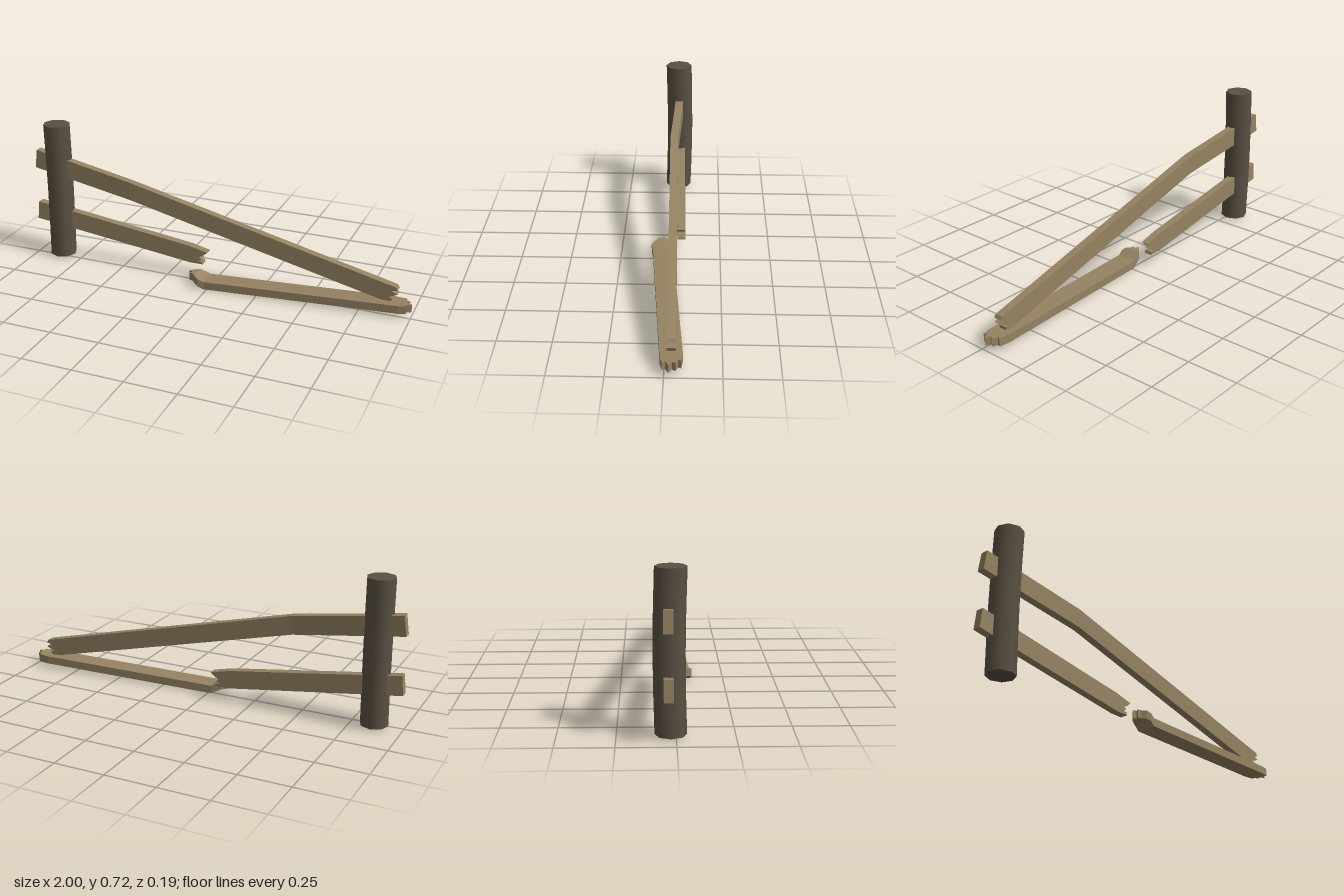
import * as THREE from 'three';

const railWood = new THREE.MeshStandardMaterial({ color: 0x958362 });
railWood.name = 'railWood';
const postWood = new THREE.MeshStandardMaterial({ color: 0x5a5142 });
postWood.name = 'postWood';

// Straight-line interpolation through [x, value] stops
function along(stops, x) {
  let i = 1;
  while (i < stops.length - 1 && x > stops[i][0]) i++;
  const [x0, v0] = stops[i - 1], [x1, v1] = stops[i];
  return v0 + (v1 - v0) * (x - x0) / (x1 - x0);
}

// A plank made of outlines that meet at its bends, with its thickness offset along x
function plank(name, outlines, stops, lying) {
  const group = new THREE.Group();
  group.name = name;
  outlines.forEach((outline, n) => {
    const shape = new THREE.Shape(outline.map(([x, v]) => new THREE.Vector2(x, lying ? -v : v)));
    let geometry = new THREE.ExtrudeGeometry(shape, { depth: 0.04, bevelEnabled: false });
    if (lying) geometry.rotateX(-Math.PI / 2);
    else geometry.translate(0, 0, -0.02);
    if (geometry.index) geometry = geometry.toNonIndexed();
    const p = geometry.attributes.position;
    for (let i = 0; i < p.count; i++) {
      const shift = along(stops, p.getX(i));
      if (lying) p.setY(i, p.getY(i) + shift);
      else p.setZ(i, p.getZ(i) + shift);
    }
    geometry.computeVertexNormals();
    const mesh = new THREE.Mesh(geometry, railWood);
    mesh.name = name + 'Section' + (n + 1);
    group.add(mesh);
  });
  return group;
}

export function createModel() {
  const model = new THREE.Group();
  model.name = 'brokenFence';

  // Upright post, bowed slightly backwards
  const postGeometry = new THREE.CylinderGeometry(0.068, 0.068, 0.712, 8, 4);
  const p = postGeometry.attributes.position;
  for (let i = 0; i < p.count; i++) {
    p.setZ(i, p.getZ(i) - 0.007 * Math.cos(p.getY(i) / 0.356 * Math.PI / 2));
  }
  const post = new THREE.Mesh(postGeometry, postWood);
  post.name = 'post';
  post.position.set(-0.863, 0.365, -0.022);
  model.add(post);

  // Upper rail, sagging from the post to a splintered end
  model.add(plank('upperRail', [
    [[-0.998, 0.47], [-0.445, 0.383], [-0.445, 0.476], [-0.985, 0.566]],
    [[-0.445, 0.383], [0.85, 0.07], [0.9, 0.068], [0.905, 0.085], [0.885, 0.088], [0.93, 0.108],
      [0.9, 0.122], [0.93, 0.13], [0.92, 0.145], [-0.445, 0.476]],
  ], [[-1, -0.036], [-0.445, -0.007], [0.93, -0.031]]));

  // Lower rail, snapped short
  model.add(plank('lowerRail', [
    [[-1, 0.185], [-0.14, 0.072], [-0.14, 0.163], [-0.99, 0.28]],
    [[-0.14, 0.072], [-0.07, 0.072], [-0.075, 0.086], [-0.095, 0.088], [-0.075, 0.1],
      [-0.09, 0.108], [-0.07, 0.12], [-0.045, 0.14], [-0.14, 0.163]],
  ], [[-1, -0.032], [-0.14, -0.053], [-0.04, -0.055]]));

  // Broken piece lying on the ground, splintered at both ends
  model.add(plank('fallenRail', [
    [[-0.065, 0.085], [-0.08, 0.068], [-0.1, 0.062], [-0.09, 0.046], [-0.11, 0.04],
      [-0.085, 0.015], [-0.065, 0.002]],
    [[-0.065, 0.085], [-0.045, 0.096], [-0.015, 0.088], [-0.015, -0.012], [-0.065, 0.002]],
    [[-0.015, 0.088], [0.94, 0.018], [0.98, 0.008], [0.97, -0.005], [1, -0.02], [0.975, -0.035],
      [0.985, -0.05], [0.96, -0.06], [0.965, -0.074], [0.91, -0.08], [-0.015, -0.012]],
  ], [[-0.11, 0.026], [-0.065, 0.025], [-0.015, 0], [1, 0.026]], true));

  return model;
}
